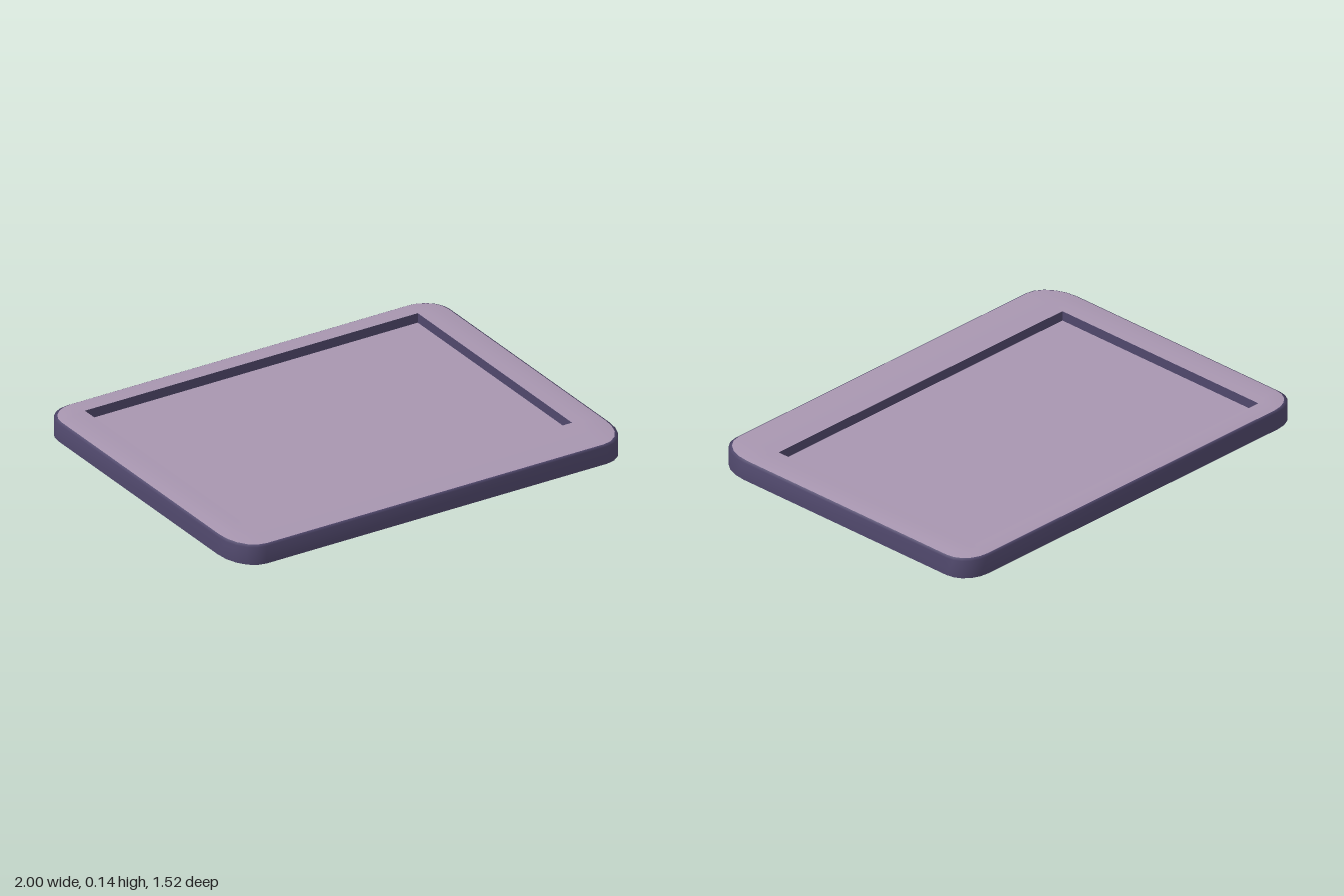
import * as THREE from 'three';

// Half sizes of the tray and the bounds of its recessed opening
const HX = 1, HZ = 0.76;
const OPENING = { x0: -0.85, x1: 0.85, z0: -0.66, z1: 0.52 };
const OUTER = { x0: -HX, x1: HX, z0: -HZ, z1: HZ };

// The whole body leans: left-front corner lowest, right-back corner highest
const lean = (x, z) => 0.0128 * (HX - x) + 0.0135 * (HZ - z);

const mix = (a, b, t) => {
  const m = {};
  for (const k in a) m[k] = a[k] + (b[k] - a[k]) * t;
  return m;
};
const inset = (b, d) => ({ x0: b.x0 + d, x1: b.x1 - d, z0: b.z0 + d, z1: b.z1 - d });

// Rounded rectangle loop; front corners are a little longer than back ones
function ring(b, y, round, steps = 5) {
  const pts = [];
  for (let c = 0; c < 4; c++) {
    const right = c === 0 || c === 3, front = c < 2;
    const rx = 0.13 * round, rz = (front ? 0.18 : 0.12) * round;
    const cx = right ? b.x1 - rx : b.x0 + rx;
    const cz = front ? b.z1 - rz : b.z0 + rz;
    for (let i = 0; i <= steps; i++) {
      const a = (c + (steps ? i / steps : 0.5)) * Math.PI / 2;
      const x = cx + rx * Math.cos(a), z = cz + rz * Math.sin(a);
      pts.push([x, y + lean(x, z), z]);
    }
  }
  return pts;
}

// Skin a list of closed loops
function loft(rings) {
  const n = rings[0].length, index = [];
  for (let r = 0; r < rings.length - 1; r++) {
    for (let i = 0; i < n; i++) {
      const a = r * n + i, b = r * n + (i + 1) % n;
      index.push(a, a + n, b, b, a + n, b + n);
    }
  }
  const geo = new THREE.BufferGeometry();
  geo.setAttribute('position', new THREE.Float32BufferAttribute(rings.flat(2), 3));
  geo.setIndex(index);
  geo.computeVertexNormals();
  return geo;
}

export function createModel() {
  const group = new THREE.Group();
  group.name = 'tray';
  const light = new THREE.MeshStandardMaterial({ name: 'pale mauve', color: 0xa896b0, side: THREE.DoubleSide });
  const dark = new THREE.MeshStandardMaterial({ name: 'dark violet', color: 0x50486c, side: THREE.DoubleSide });

  const add = (name, geo, mat) => {
    const mesh = new THREE.Mesh(geo, mat);
    mesh.name = name;
    group.add(mesh);
  };

  // Outer wall, open underneath, with a narrow bevel at the top
  add('outerWall', loft([
    ring(OUTER, 0, 1),
    ring(OUTER, 0.083, 1),
    ring(inset(OUTER, 0.012), 0.09, 0.97),
  ]), dark);

  // Gently crowned rim between the wall and the opening
  const edge = inset(OUTER, 0.012);
  add('rim', loft([
    ring(edge, 0.09, 0.97),
    ring(mix(edge, OPENING, 0.3), 0.095, 0.7),
    ring(mix(edge, OPENING, 0.65), 0.096, 0.35),
    ring(OPENING, 0.095, 0.005),
  ]), light);

  // Sharp-cornered walls of the recess
  const recess = loft([ring(OPENING, 0.095, 0, 0), ring(OPENING, 0.05, 0, 0)]).toNonIndexed();
  recess.computeVertexNormals();
  add('recessWall', recess, dark);

  // Thin panel at the bottom of the recess
  const panel = new THREE.PlaneGeometry(OPENING.x1 - OPENING.x0, OPENING.z1 - OPENING.z0);
  panel.rotateX(-Math.PI / 2);
  panel.translate(0, 0.05, (OPENING.z0 + OPENING.z1) / 2);
  const p = panel.attributes.position;
  for (let i = 0; i < p.count; i++) p.setY(i, p.getY(i) + lean(p.getX(i), p.getZ(i)));
  panel.computeVertexNormals();
  add('panel', panel, light);

  return group;
}
